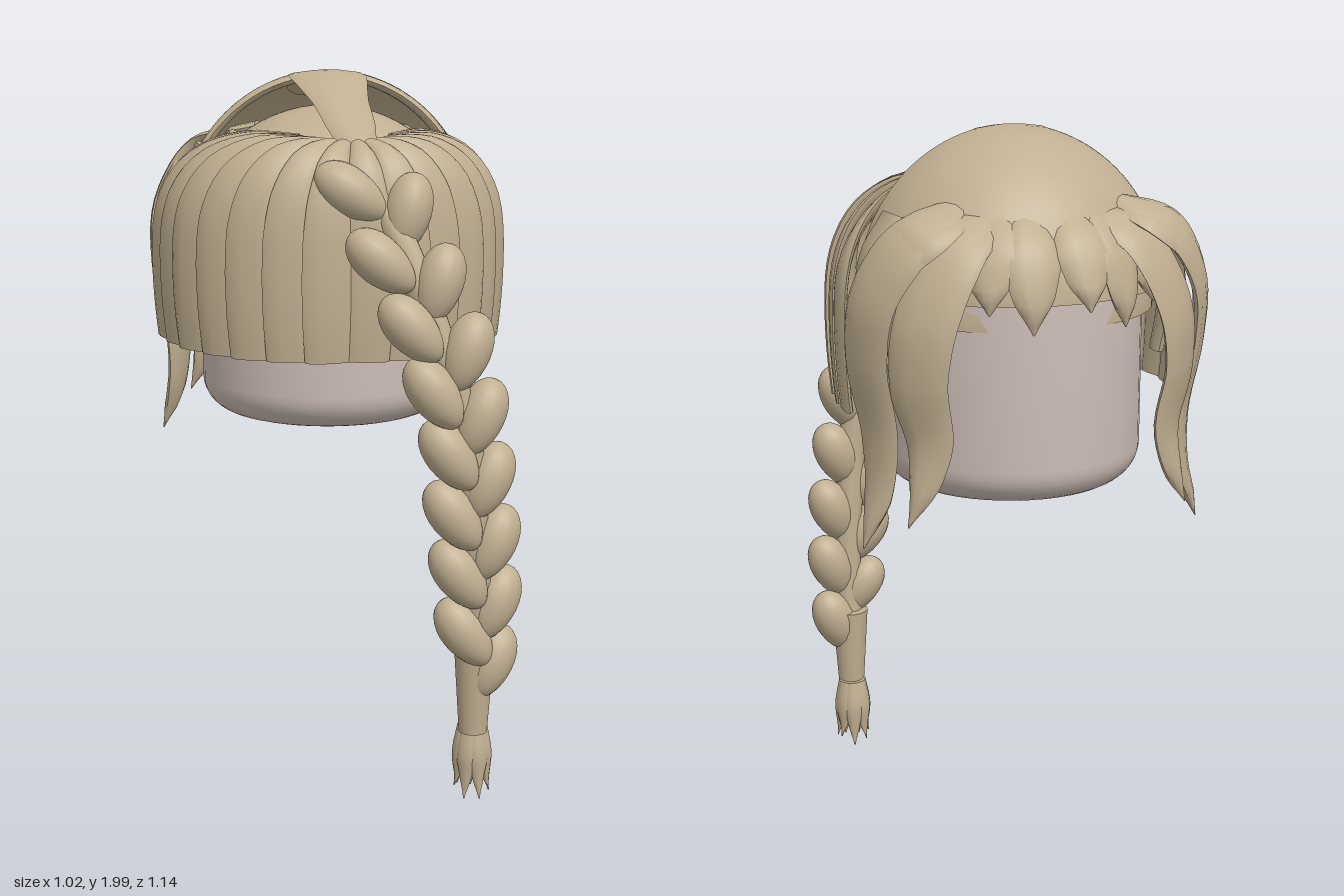
import * as THREE from 'three';
import { toCreasedNormals } from 'three/addons/utils/BufferGeometryUtils.js';

const hair = new THREE.MeshStandardMaterial({ color: 0xc0af91, side: THREE.DoubleSide });
hair.name = 'hair';
const skin = new THREE.MeshStandardMaterial({ color: 0xcfbfb8 });
skin.name = 'skin';

const V = (x, y, z) => new THREE.Vector3(x, y, z);
const clamp = THREE.MathUtils.clamp;

function mesh(name, geo, mat = hair) {
  const m = new THREE.Mesh(geo, mat);
  m.name = name;
  return m;
}

// Interpolates a short list of values at t in 0..1
function sample(list, t) {
  const f = clamp(t, 0, 1) * (list.length - 1), i = Math.min(Math.floor(f), list.length - 2);
  return THREE.MathUtils.lerp(list[i], list[i + 1], f - i);
}

// Sweeps a lens section along a path; its flat side faces away from centre
function lock(name, pts, widths, thick, centre, roll = 0, steps = 20) {
  const curve = new THREE.CatmullRomCurve3(pts, false, 'centripetal');
  const pos = [], idx = [], S = 10;
  for (let i = 0; i <= steps; i++) {
    const t = i / steps, p = curve.getPointAt(t), T = curve.getTangentAt(t);
    const c = centre.clone();
    if (centre.y > 1) c.y = Math.min(centre.y, p.y);
    const N = p.clone().sub(c);
    N.addScaledVector(T, -N.dot(T)).normalize().applyAxisAngle(T, roll);
    const B = T.clone().cross(N), w = Math.max(sample(widths, t), 0.002);
    const h = Math.min(thick, w * 0.7);
    for (let j = 0; j < S; j++) {
      const a = (j / S) * Math.PI * 2;
      const q = p.clone().addScaledVector(B, w * Math.cos(a)).addScaledVector(N, h * Math.sin(a));
      pos.push(q.x, q.y, q.z);
    }
  }
  for (let i = 0; i < steps; i++) for (let j = 0; j < S; j++) {
    const a = i * S + j, b = i * S + (j + 1) % S;
    idx.push(a, a + S, b, b, a + S, b + S);
  }
  const last = steps * S;
  for (let j = 1; j < S - 1; j++) idx.push(0, j, j + 1, last, last + j + 1, last + j);
  const g = new THREE.BufferGeometry();
  g.setAttribute('position', new THREE.Float32BufferAttribute(pos, 3));
  g.setIndex(idx);
  return mesh(name, toCreasedNormals(g, 0.9));
}

// Point on the fringe: angle a round the face, t from parting to hem
const parting = V(0.03, 1.82, 0.24);
function fringePoint(a, t, scale = 1) {
  const k = Math.min(t / 0.7, 1) * Math.PI / 2, e = 0.66;
  const u = Math.pow(Math.max(Math.sin(k), 0), e), h = Math.pow(Math.max(Math.cos(k), 0), e);
  const down = Math.max((t - 0.7) / 0.3, 0), r = scale * (1 - 0.025 * down * down);
  const x = 0.488 * Math.sin(a) * r, z = -0.1 + 0.505 * Math.cos(a) * r;
  return V(THREE.MathUtils.lerp(parting.x, x, u), 1.47 + 0.35 * h - 0.22 * down,
    THREE.MathUtils.lerp(parting.z, z, u));
}

function fringeShell() {
  const pos = [], idx = [], A = 48, R = 24, span = 1.72;
  for (let i = 0; i <= A; i++) for (let j = 0; j <= R; j++) {
    pos.push(...fringePoint(-span + 2 * span * i / A, j / R, 0.985).toArray());
  }
  for (let i = 0; i < A; i++) for (let j = 0; j < R; j++) {
    const a = i * (R + 1) + j, b = a + R + 1;
    idx.push(a, a + 1, b, b, a + 1, b + 1);
  }
  const g = new THREE.BufferGeometry();
  g.setAttribute('position', new THREE.Float32BufferAttribute(pos, 3));
  g.setIndex(idx);
  g.computeVertexNormals();
  return mesh('fringeShell', g);
}

export function createModel() {
  const model = new THREE.Group();
  model.name = 'braidedHair';
  const core = V(0, 1.5, -0.1);

  // Head: a cylinder with a rounded bottom edge
  const prof = [new THREE.Vector2(0, 1.02)];
  for (let i = 0; i <= 8; i++) {
    const a = (i / 8) * Math.PI / 2;
    prof.push(new THREE.Vector2(0.265 + 0.1 * Math.sin(a), 1.12 - 0.1 * Math.cos(a)));
  }
  prof.push(new THREE.Vector2(0.365, 1.6), new THREE.Vector2(0, 1.6));
  const head = mesh('head', toCreasedNormals(new THREE.LatheGeometry(prof, 48), 0.7), skin);
  head.position.z = -0.11;
  model.add(head);

  // Scalp under the hair
  const scalp = mesh('scalp', new THREE.SphereGeometry(1, 40, 16, 0, Math.PI * 2, 0, Math.PI / 2));
  scalp.scale.set(0.41, 0.4, 0.4);
  scalp.position.set(0, 1.5, -0.07);
  model.add(scalp);

  // Domed cap over the back of the head, with a thick front rim
  const cap = mesh('backCap', new THREE.SphereGeometry(1, 40, 24, Math.PI, Math.PI, 0, 1.5));
  cap.scale.set(0.43, 0.45, 0.42);
  cap.position.set(0, 1.545, -0.1);
  model.add(cap);
  const rim = [];
  for (let i = 0; i <= 16; i++) {
    const a = -1.5 + 3 * i / 16;
    rim.push(V(0.415 * Math.sin(a), 1.545 + 0.435 * Math.cos(a), -0.11 - 0.03 * Math.abs(Math.sin(a))));
  }
  model.add(lock('capRim', rim, [0.03, 0.03, 0.03, 0.03, 0.03], 0.014, core, 0, 40));

  // Strip from the crown to the parting
  model.add(lock('crownStrip',
    [V(0, 1.93, -0.24), V(0, 1.975, -0.12), V(0.01, 1.94, 0.02), V(0.03, 1.87, 0.16), V(0.045, 1.8, 0.27)],
    [0.1, 0.12, 0.1, 0.08, 0.07, 0.05], 0.02, V(0, 0.9, -0.1)));

  // Fringe: overlapping strands fanned out from the parting
  const fringe = new THREE.Group();
  fringe.name = 'fringe';
  fringe.add(fringeShell());
  const count = 16;
  for (let i = 0; i < count; i++) {
    const a = -1.65 + 3.3 * i / (count - 1), pts = [];
    for (let j = 0; j <= 12; j++) pts.push(fringePoint(a, 0.06 + 0.94 * j / 12, i % 2 ? 1 : 0.99));
    fringe.add(lock('fringeStrand', pts, [0.02, 0.045, 0.06, 0.068, 0.07, 0.068, 0.062],
      0.014, core, a < 0 ? -0.14 : 0.14, 24));
  }
  model.add(fringe);

  // Long wavy locks hanging at each side of the back
  for (const s of [-1, 1]) {
    model.add(lock('sideLock',
      [V(s * 0.18, 1.82, -0.3), V(s * 0.34, 1.76, -0.4), V(s * 0.45, 1.6, -0.37), V(s * 0.465, 1.42, -0.335),
        V(s * 0.43, 1.22, -0.325), V(s * 0.435, 1.06, -0.325), V(s * 0.48, 0.91, -0.33)],
      [0.03, 0.07, 0.085, 0.085, 0.085, 0.08, 0.07, 0.05, 0], 0.02, core, 0, 32));
    model.add(lock('backLock',
      [V(s * 0.1, 1.8, -0.36), V(s * 0.24, 1.73, -0.45), V(s * 0.34, 1.55, -0.475), V(s * 0.36, 1.38, -0.465),
        V(s * 0.33, 1.22, -0.46), V(s * 0.35, 1.1, -0.46), V(s * 0.39, 1.0, -0.46)],
      [0.03, 0.07, 0.085, 0.09, 0.09, 0.085, 0.07, 0.045, 0], 0.02, core, 0, 32));
    // Upper blade sweeping outwards over the locks
    model.add(lock('sweptBlade',
      [V(s * 0.2, 1.79, -0.32), V(s * 0.32, 1.76, -0.42), V(s * 0.43, 1.67, -0.36), V(s * 0.49, 1.58, -0.27)],
      [0.04, 0.07, 0.075, 0.05, 0], 0.018, core));
    // Broad tuft at the temple behind the fringe
    model.add(lock('templeTuft',
      [V(s * 0.35, 1.78, -0.2), V(s * 0.41, 1.65, -0.21), V(s * 0.42, 1.5, -0.21), V(s * 0.4, 1.37, -0.21)],
      [0.05, 0.08, 0.08, 0.07, 0.05], 0.02, core));
  }

  // Leaf-shaped tufts along the cap's lower edge
  const tufts = [-0.95, -0.68, -0.42, -0.17, 0.17, 0.42, 0.68, 0.95];
  tufts.forEach((a, i) => {
    const at = (r, y) => V(Math.sin(a) * r, y, -0.1 - Math.cos(a) * r);
    const drop = i % 2 ? 0.05 : 0;
    model.add(lock('backTuft', [at(0.31, 1.8), at(0.4, 1.72), at(0.44, 1.62), at(0.455, 1.51 + drop)],
      [0.03, 0.065, 0.075, 0.055, 0], 0.02, core, i % 2 ? 0.12 : -0.12, 14));
  });

  // Braid: two rows of teardrop bulbs round a core
  const braid = new THREE.Group();
  braid.name = 'braid';
  const path = new THREE.CatmullRomCurve3([V(0.06, 1.74, 0.31), V(0.15, 1.55, 0.41), V(0.24, 1.3, 0.47),
    V(0.31, 1.05, 0.48), V(0.335, 0.8, 0.47), V(0.35, 0.55, 0.455), V(0.35, 0.3, 0.435)]);
  braid.add(mesh('braidCore', new THREE.TubeGeometry(path, 40, 0.042, 10)));
  const bulb = new THREE.SphereGeometry(1, 20, 14);
  const bp = bulb.attributes.position;
  for (let i = 0; i < bp.count; i++) {
    const y = bp.getY(i);
    bp.setX(i, bp.getX(i) * (1 + 0.12 * y));
    bp.setZ(i, bp.getZ(i) * (1 + 0.1 * y));
  }
  bulb.computeVertexNormals();
  const depth = [0.365, 0.45, 0.495, 0.505, 0.495, 0.485, 0.47, 0.455];
  const leftX = [0.01, 0.08, 0.155, 0.215, 0.26, 0.275, 0.295, 0.315];
  const rightX = [0.16, 0.235, 0.305, 0.345, 0.37, 0.39, 0.4, 0.395];
  for (let i = 0; i < 8; i++) {
    const turn = Math.max(0, 1 - i / 3);
    for (const [x, y, z, tilt] of [
      [leftX[i], 1.7 - 0.171 * i, depth[i] + 0.01, 0.6 + 0.35 * turn],
      [rightX[i], 1.645 - 0.177 * i, depth[i] - 0.018 + 0.03 * turn, -0.4 + 0.15 * turn]]) {
      const b = mesh('braidBulb', bulb);
      b.position.set(x, y, z);
      b.scale.set(0.064, 0.11, 0.062);
      b.rotation.set(-0.15, 0, tilt);
      braid.add(b);
    }
  }
  model.add(braid);

  // Tapered end and loose tassel
  const end = mesh('braidEnd', new THREE.CylinderGeometry(0.056, 0.04, 0.24, 16));
  end.position.set(0.35, 0.32, 0.435);
  model.add(end);
  const axis = V(0.352, 0.1, 0.415);
  for (let i = 0; i < 7; i++) {
    const a = (i / 7) * Math.PI * 2 + 0.3;
    const at = (r, y) => V(axis.x + Math.sin(a) * r, y, axis.z + Math.cos(a) * r);
    model.add(lock('tasselTip', [at(0.028, 0.21), at(0.042, 0.13), at(0.04, 0.07), at(0.05, 0.005 + 0.012 * (i % 3))],
      [0.022, 0.028, 0.026, 0.016, 0], 0.014, axis, 0, 12));
  }
  return model;
}
